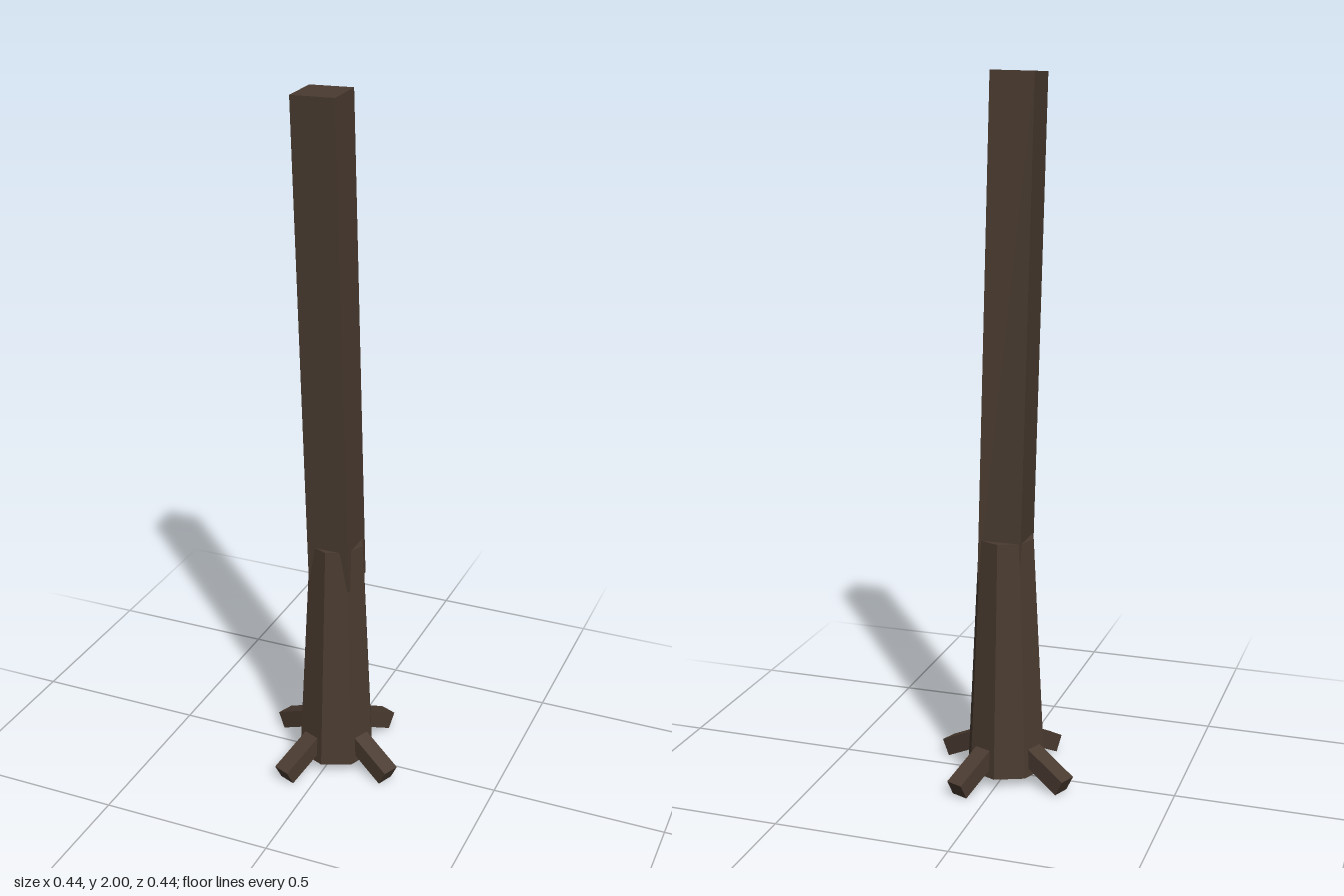
import * as THREE from 'three';

export function createModel() {
  const group = new THREE.Group();
  const bark = new THREE.MeshStandardMaterial({ color: 0x4a3b30, flatShading: true });

  const add = (name, geometry, parent = group) => {
    const mesh = new THREE.Mesh(geometry, bark);
    mesh.name = name;
    parent.add(mesh);
    return mesh;
  };

  // Flared eight-sided lower trunk
  const lower = add('lowerTrunk', new THREE.CylinderGeometry(0.081, 0.116, 0.69, 8));
  lower.position.y = 0.373;

  // Square upper trunk, leaning slightly
  const upper = add('upperTrunk', new THREE.BoxGeometry(0.124, 1.4, 0.124));
  upper.position.set(-0.0105, 1.297, 0.018);
  upper.rotation.set(0.025, 0, 0.02);

  // Four square roots sloping down to the ground
  const tilt = 0.48, size = 0.051, length = 0.2;
  const rootGeometry = new THREE.BoxGeometry(length, size, size);
  rootGeometry.translate(-length / 2, -size / 2, 0); // origin at the outer top edge
  for (let i = 0; i < 4; i++) {
    const pivot = new THREE.Group();
    pivot.name = `rootPivot${i + 1}`;
    pivot.rotation.y = -Math.PI / 8 + (i * Math.PI) / 2;
    const root = add(`root${i + 1}`, rootGeometry, pivot);
    root.position.set(0.227, size * Math.cos(tilt), 0);
    root.rotation.z = -tilt;
    group.add(pivot);
  }

  return group;
}
